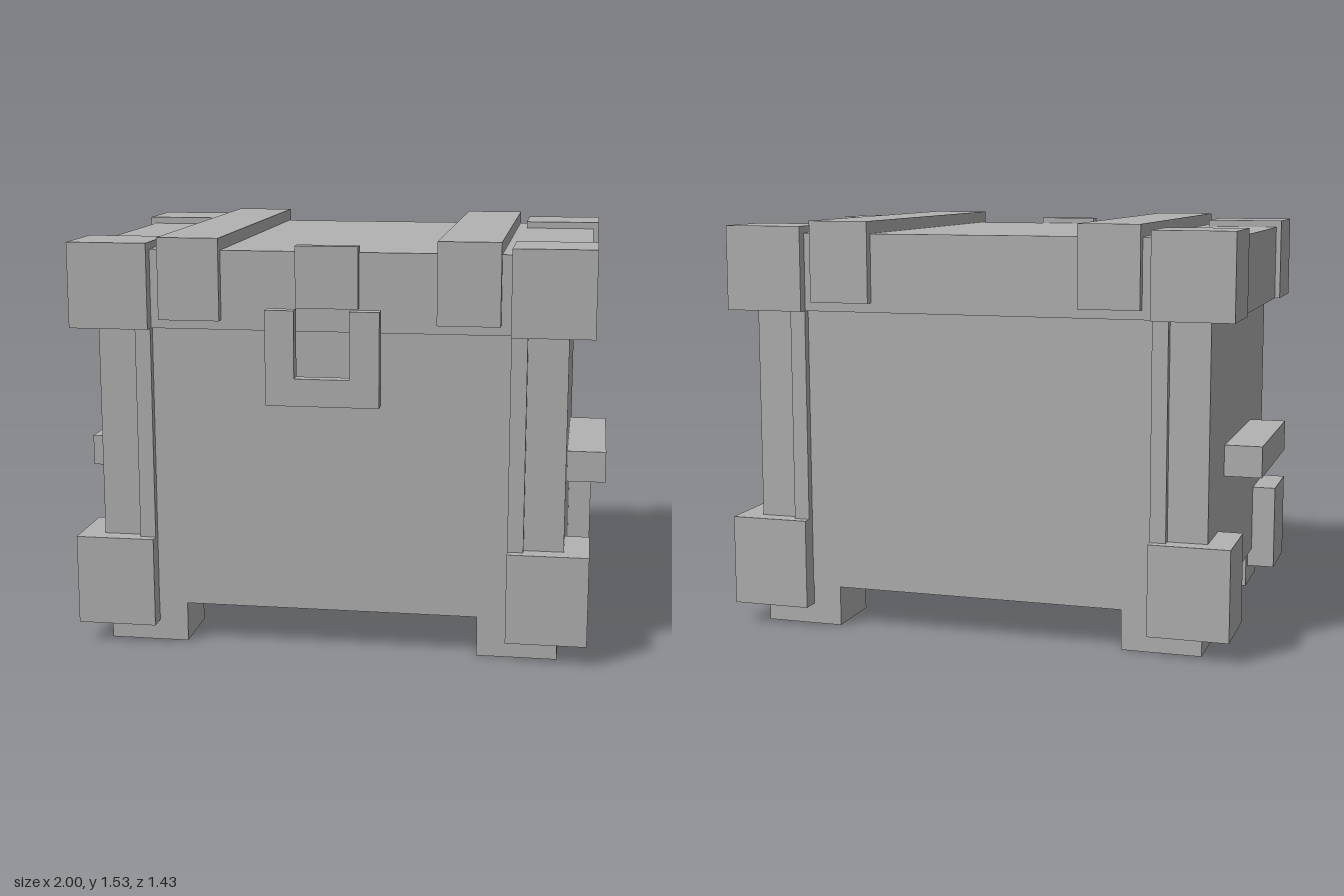
import * as THREE from 'three';

export function createModel() {
  const chest = new THREE.Group();
  chest.name = 'chest';
  const grey = new THREE.MeshStandardMaterial({ color: 0xb2b2b2, side: THREE.DoubleSide });
  grey.name = 'grey';

  // Box from its limits; faces listed in omit are left open (2 = top, 3 = bottom)
  function box(name, [x0, x1], [y0, y1], [z0, z1], omit = []) {
    const geometry = new THREE.BoxGeometry(x1 - x0, y1 - y0, z1 - z0);
    if (omit.length) {
      const kept = Array.from(geometry.index.array).filter((_, i) => !omit.includes(Math.floor(i / 6)));
      geometry.setIndex(kept);
      geometry.clearGroups();
    }
    const mesh = new THREE.Mesh(geometry, grey);
    mesh.name = name;
    mesh.position.set((x0 + x1) / 2, (y0 + y1) / 2, (z0 + z1) / 2);
    chest.add(mesh);
    return mesh;
  }

  // Range mirrored about a centre
  const span = (side, a, b, centre) =>
    side > 0 ? [centre + a, centre + b] : [centre - b, centre - a];
  const CX = -0.002, CZ = -0.015;

  // Hollow body and lid
  box('body', [-0.86, 0.856], [0.15, 1.3], [-0.65, 0.62], [2, 3]);
  box('lid', [-0.932, 0.928], [1.2, 1.487], [-0.675, 0.637], [3]);

  for (const sx of [1, -1]) {
    const cornerX = span(sx, 0.655, 0.95, CX);
    for (const sz of [1, -1]) {
      const cornerZ = span(sz, 0.423, 0.7, CZ);
      // Corner guards, feet and narrow upright strips
      box('lidCorner', cornerX, [1.2, 1.513], cornerZ, [3]);
      box('baseCorner', cornerX, [0.077, 0.412], cornerZ);
      box('foot', span(sx, 0.547, 0.842, CX), [0, 0.15], span(sz, 0.38, 0.631, CZ));
      box('uprightStrip', span(sx, 0.655, 0.713, CX), [0.3, 1.2], span(sz, 0.625, 0.665, CZ));
    }
    // Strap over the lid and side handle
    box('lidStrap', span(sx, 0.393, 0.618, CX), [1.235, 1.533], [-0.71, 0.672]);
    box('handle', sx > 0 ? [0.85, 1] : [-1, -0.85], [0.597, 0.714], [-0.33, 0.3]);
  }

  // Hasp on the lid
  box('hasp', [-0.117, 0.11], [1.287, 1.51], [0.62, 0.667]);

  // U-shaped latch plate
  const outline = new THREE.Shape([
    [-0.219, 0.94], [0.193, 0.94], [0.193, 1.285], [0.085, 1.285],
    [0.085, 1.04], [-0.114, 1.04], [-0.114, 1.285], [-0.219, 1.285],
  ].map(([x, y]) => new THREE.Vector2(x, y)));
  const latch = new THREE.Mesh(
    new THREE.ExtrudeGeometry(outline, { depth: 0.05, bevelEnabled: false }), grey);
  latch.name = 'latch';
  latch.position.z = 0.666;
  chest.add(latch);

  return chest;
}
